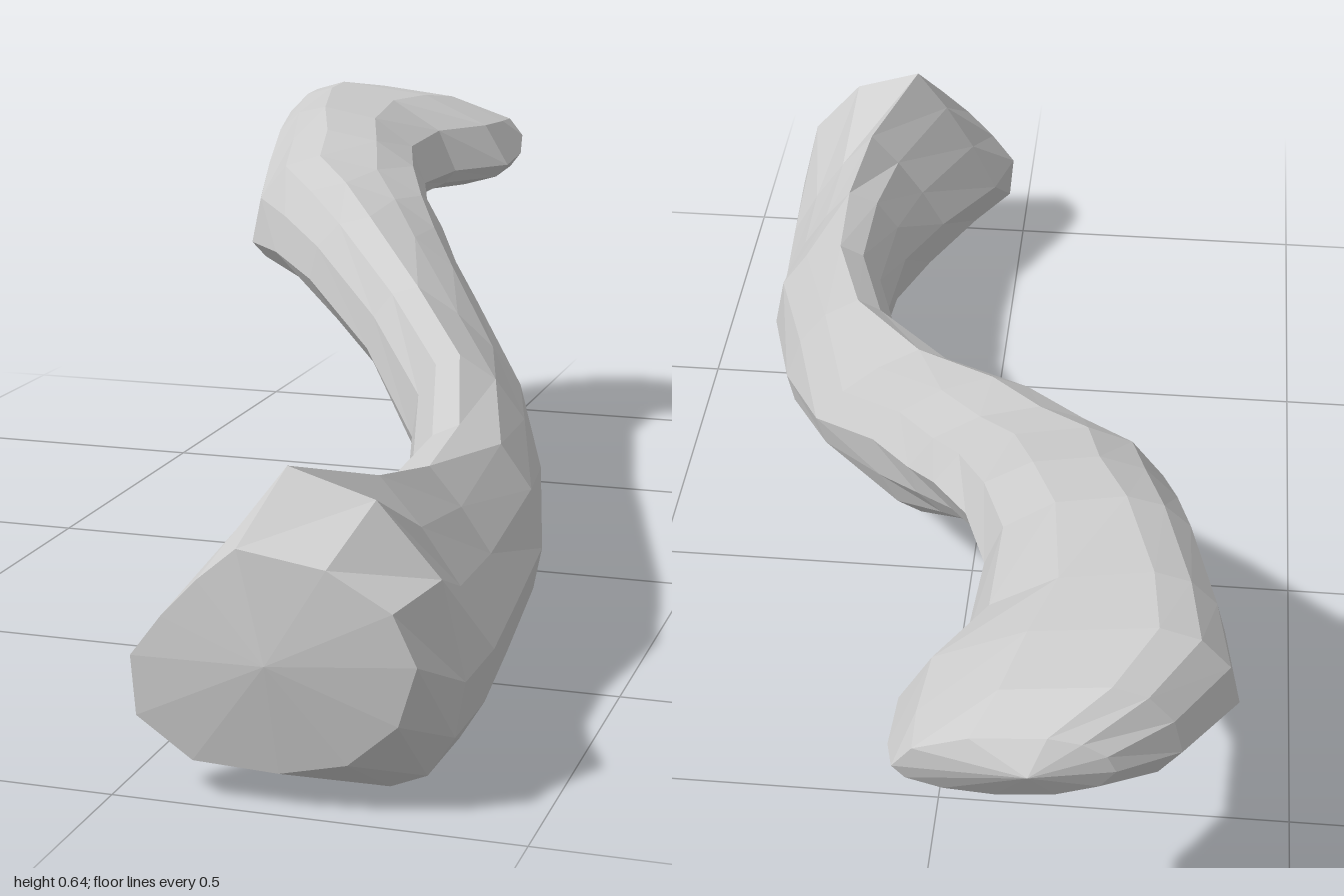
import * as THREE from 'three';

// Cross-sections along z: z, then x,y of the left, top, right and bottom extremes
const SECTIONS = [
  [-0.97, -0.26, 0.55, -0.18, 0.595, 0, 0.535, -0.12, 0.5],
  [-0.91, -0.335, 0.53, -0.25, 0.625, 0.012, 0.51, -0.13, 0.46],
  [-0.82, -0.4, 0.53, -0.3, 0.64, 0.01, 0.5, -0.15, 0.455],
  [-0.72, -0.38, 0.55, -0.29, 0.64, -0.06, 0.5, -0.2, 0.455],
  [-0.56, -0.345, 0.54, -0.25, 0.625, -0.07, 0.5, -0.2, 0.45],
  [-0.45, -0.33, 0.48, -0.21, 0.6, -0.035, 0.49, -0.2, 0.415],
  [-0.35, -0.31, 0.42, -0.19, 0.57, 0.02, 0.46, -0.17, 0.37],
  [-0.27, -0.24, 0.42, -0.12, 0.54, 0.065, 0.42, -0.03, 0.33],
  [-0.16, -0.145, 0.4, -0.045, 0.505, 0.13, 0.38, 0.06, 0.25],
  [0, 0, 0.33, 0.08, 0.43, 0.24, 0.29, 0.14, 0.2],
  [0.2, 0.13, 0.25, 0.2, 0.375, 0.32, 0.22, 0.24, 0.125],
  [0.42, 0.185, 0.2, 0.26, 0.33, 0.375, 0.17, 0.29, 0.055],
  [0.6, 0.175, 0.19, 0.27, 0.32, 0.385, 0.15, 0.3, 0.02],
  [0.75, 0.125, 0.17, 0.25, 0.345, 0.395, 0.14, 0.31, 0.003],
  [0.9, 0.045, 0.16, 0.185, 0.39, 0.4, 0.15, 0.31, 0.012],
  [0.98, 0.018, 0.17, 0.15, 0.31, 0.365, 0.19, 0.2, 0.045],
];
const BACK_TIP = new THREE.Vector3(-0.16, 0.56, -1);
const FRONT_TIP = new THREE.Vector3(0.19, 0.18, 1);
const STEPS = 3; // facets per quarter of a ring

// How far a quarter is pressed from a round arc toward its straight chord
function flatness(quarter, z) {
  const midShaft = 0.7 * Math.max(0, 1 - Math.abs(z + 0.02) / 0.45);
  if (quarter === 0) return z > 0.7 ? 0.8 : 0; // slanted side of the front head
  if (quarter === 1) return z > 0.5 && z < 0.8 ? 0.8 : midShaft; // hollow behind the head
  if (quarter === 2) return 0;
  return z > 0.95 ? -0.5 : midShaft; // squared lower corner of the front face
}

// Rounds each quarter between neighbouring extremes toward its bounding corner
function makeRing([z, lx, ly, tx, ty, rx, ry, bx, by]) {
  const ends = [[lx, ly], [tx, ty], [rx, ry], [bx, by]];
  const corners = [[lx, ty], [rx, ty], [rx, by], [lx, by]];
  const ring = [];
  for (let q = 0; q < 4; q++) {
    const a = ends[q], b = ends[(q + 1) % 4], c = corners[q];
    const flat = flatness(q, z);
    for (let s = 0; s < STEPS; s++) {
      const f = s / STEPS, t = f * Math.PI / 2;
      const u = THREE.MathUtils.lerp(1 - Math.sin(t), 1 - f, flat);
      const v = THREE.MathUtils.lerp(1 - Math.cos(t), f, flat);
      const at = (k) => c[k] + (a[k] - c[k]) * u + (b[k] - c[k]) * v;
      ring.push(new THREE.Vector3(at(0), at(1), z));
    }
  }
  return ring;
}

function loftGeometry() {
  const rings = SECTIONS.map(makeRing);
  const n = rings[0].length;
  const points = [];
  // Shaft walls
  for (let i = 0; i < rings.length - 1; i++) {
    for (let j = 0; j < n; j++) {
      const k = (j + 1) % n;
      const a = rings[i][j], b = rings[i][k], c = rings[i + 1][j], d = rings[i + 1][k];
      points.push(a, c, b, b, c, d);
    }
  }
  // Domed ends
  const first = rings[0], last = rings[rings.length - 1];
  for (let j = 0; j < n; j++) {
    const k = (j + 1) % n;
    points.push(BACK_TIP, first[j], first[k]);
    points.push(FRONT_TIP, last[k], last[j]);
  }
  const geometry = new THREE.BufferGeometry().setFromPoints(points);
  geometry.computeVertexNormals();
  return geometry;
}

export function createModel() {
  const group = new THREE.Group();
  group.name = 'collarbone';
  const material = new THREE.MeshStandardMaterial({ color: 0xcccccc, flatShading: true });
  const bone = new THREE.Mesh(loftGeometry(), material);
  bone.name = 'boneShaft';
  group.add(bone);
  return group;
}
